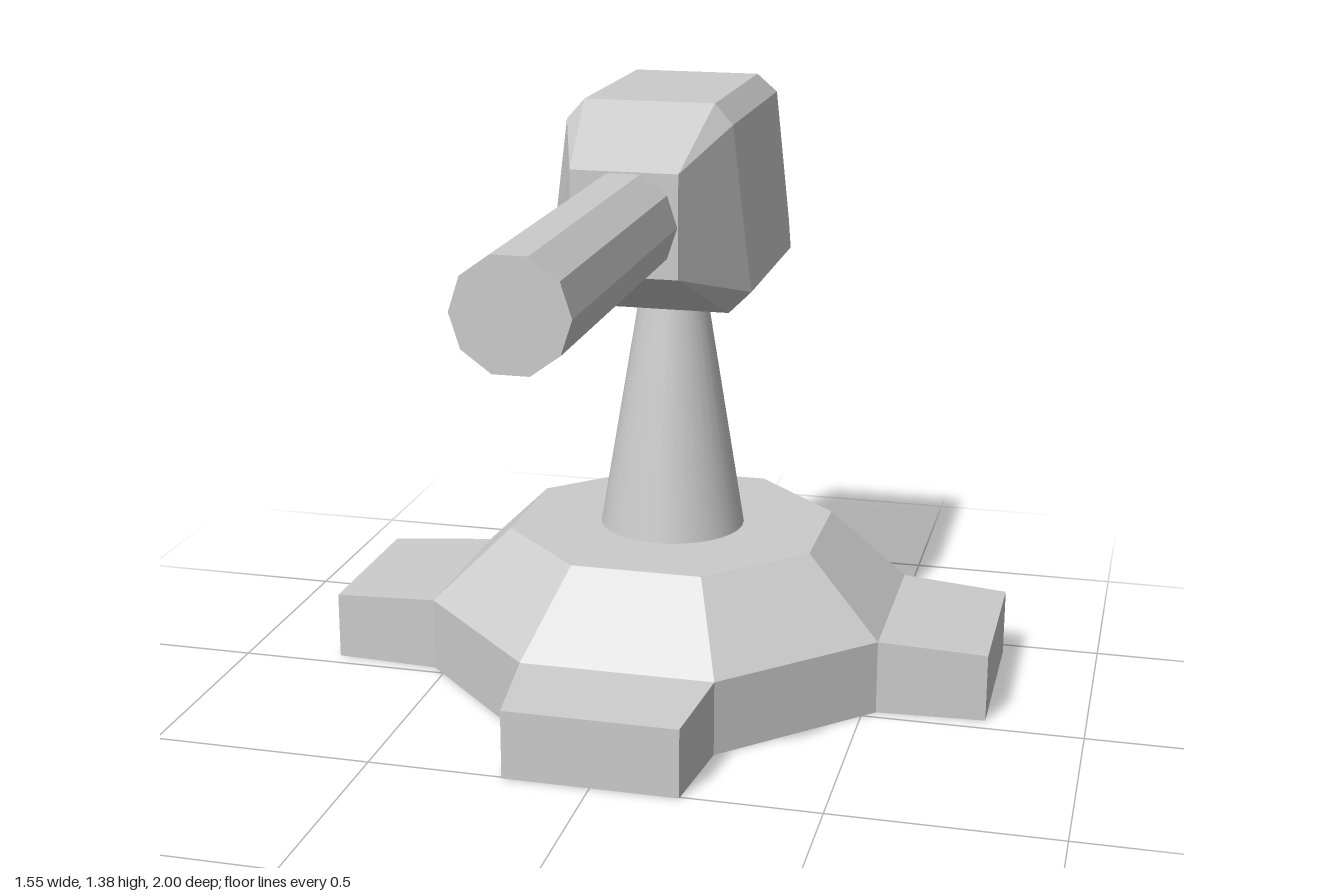
import * as THREE from 'three';
import { ConvexGeometry } from 'three/addons/geometries/ConvexGeometry.js';

const flat = new THREE.MeshStandardMaterial({ color: 0xcccccc, flatShading: true });
const smooth = new THREE.MeshStandardMaterial({ color: 0xcccccc });
const BASE_Z = -0.247;

// Convex solid from corner points, each mirrored across x = 0
function mirroredHull(corners) {
  const points = corners.flatMap(([x, y, z]) => [
    new THREE.Vector3(x, y, z),
    new THREE.Vector3(-x, y, z),
  ]);
  return new ConvexGeometry(points);
}

// Half of a square outline with cut corners at height y
function octagon(a, b, y) {
  return [[a, y, b], [b, y, a], [a, y, -b], [b, y, -a]];
}

export function createModel() {
  const group = new THREE.Group();
  const add = (name, geometry, material = flat) => {
    const mesh = new THREE.Mesh(geometry, material);
    mesh.name = name;
    group.add(mesh);
    return mesh;
  };

  // Base: upright rim with a sloping top
  add('base', mirroredHull([
    ...octagon(0.53, 0.22, 0),
    ...octagon(0.53, 0.22, 0.172),
    ...octagon(0.357, 0.15, 0.345),
  ])).position.z = BASE_Z;

  // Four tapered feet around the base
  ['frontFoot', 'leftFoot', 'backFoot', 'rightFoot'].forEach((name, i) => {
    const sideways = i % 2 === 1;
    const reach = sideways ? 0.777 : 0.753;
    const half = sideways ? 0.205 : 0.195;
    const foot = add(name, mirroredHull([
      [0.22, 0, 0.53], [0.22, 0.172, 0.53],
      [half, 0, reach], [half, 0.157, reach],
    ]));
    foot.position.z = BASE_Z;
    foot.rotation.y = (i * Math.PI) / 2;
  });

  // Tapered round column
  const column = add('column', new THREE.CylinderGeometry(0.073, 0.17, 0.59, 32), smooth);
  column.position.set(0, 0.635, BASE_Z);

  // Head: bevelled block narrowing towards the barrel
  add('head', mirroredHull([
    // front face
    [0.117, 1.265, 0.205], [0.117, 1.04, 0.205],
    // shoulder section
    [0.145, 1.38, -0.015], [0.185, 1.335, -0.015],
    [0.23, 0.97, -0.015], [0.18, 0.92, -0.015],
    // rear section with clipped lower corners
    [0.145, 1.38, -0.475], [0.185, 1.335, -0.51],
    [0.215, 1.03, -0.53], [0.185, 0.97, -0.55],
    [0.23, 0.97, -0.48], [0.18, 0.92, -0.475],
  ]));

  // Ten-sided barrel
  const barrel = new THREE.CylinderGeometry(0.115, 0.115, 0.8, 10, 1, false, Math.PI / 2);
  barrel.rotateX(Math.PI / 2);
  add('barrel', barrel).position.set(0, 1.152, 0.6);

  return group;
}
